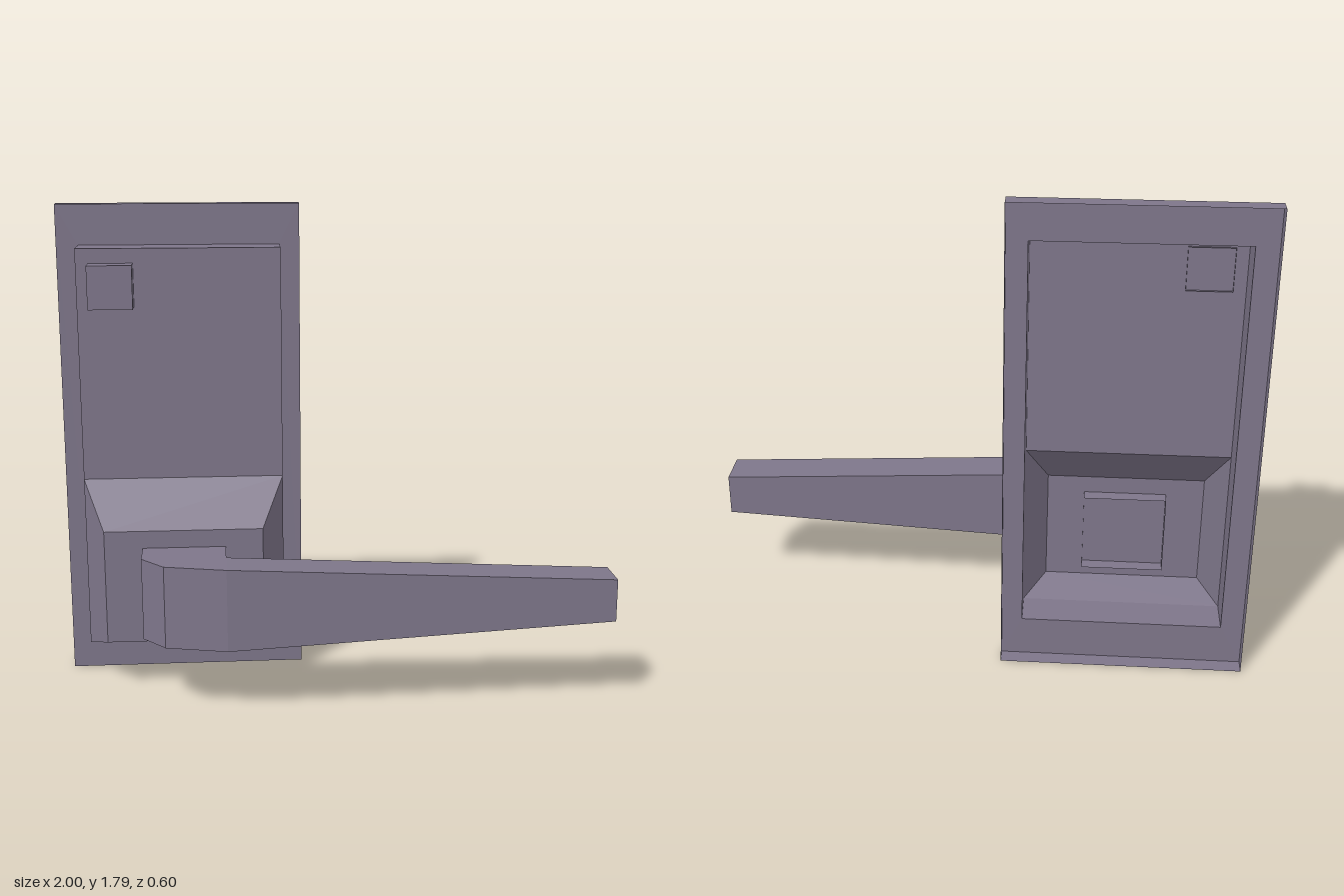
import * as THREE from 'three';

const metal = new THREE.MeshStandardMaterial({ color: 0x7e768a });
metal.name = 'greyMetal';
metal.side = THREE.DoubleSide; // pressed sheet parts, open at the back

// Rectangular cross-section at depth z, anticlockwise from the front
const rect = (l, r, b, t, z) => [[l, b, z], [r, b, z], [r, t, z], [l, t, z]];

// Skin four-cornered cross-sections, back to front; optionally close the last one
function loft(name, loops, cap = true) {
  const pos = [];
  const quad = (a, b, c, d) => pos.push(...a, ...b, ...c, ...a, ...c, ...d);
  for (let i = 0; i < loops.length - 1; i++) {
    const p = loops[i], q = loops[i + 1];
    for (let k = 0; k < 4; k++) {
      const n = (k + 1) % 4;
      quad(p[k], p[n], q[n], q[k]);
    }
  }
  if (cap) quad(...loops[loops.length - 1]);
  const geo = new THREE.BufferGeometry();
  geo.setAttribute('position', new THREE.Float32BufferAttribute(pos, 3));
  geo.computeVertexNormals();
  const mesh = new THREE.Mesh(geo, metal);
  mesh.name = name;
  return mesh;
}

export function createModel() {
  const model = new THREE.Group();
  model.name = 'doorLock';

  // Back plate: shallow skirt, flange and opening
  const L = -0.92, R = -0.183, B = 0.152, T = 1.643, M = 0.793;
  model.add(loft('backPlate', [
    rect(-1, -0.108, 0, 1.792, -0.302),
    rect(-1, -0.108, 0, 1.792, -0.242),
    rect(L, R, B, T, -0.242),
  ], false));

  // Housing walls, flat upper panel and raised lower boss
  model.add(loft('housingWalls', [
    rect(L, R, B, T, -0.242),
    rect(L, R, B, T, -0.105),
  ], false));
  model.add(loft('upperPanel', [rect(L, R, M, T, -0.105)]));
  model.add(loft('lowerBoss', [
    rect(L, R, B, M, -0.105),
    rect(-0.845, -0.263, 0.196, 0.624, 0.02),
  ]));

  // Button, its open end just through the panel
  model.add(loft('button', [
    rect(-0.875, -0.715, 1.433, 1.59, -0.115),
    rect(-0.875, -0.715, 1.433, 1.59, -0.025),
  ]));

  // Lever: neck, chamfered bend and tapering arm [outerX, outerZ, innerX, innerZ, halfHeight]
  const sections = [
    [-0.705, -0.03, -0.4, -0.03, 0.152],
    [-0.705, 0.15, -0.4, 0.156, 0.152],
    [-0.622, 0.248, -0.4, 0.156, 0.152],
    [-0.4, 0.302, -0.4, 0.156, 0.152],
    [1, 0.302, 1, 0.156, 0.079],
  ];
  const midY = 0.407;
  model.add(loft('lever', sections.map(([ox, oz, ix, iz, h]) => [
    [ox, midY - h, oz], [ix, midY - h, iz], [ix, midY + h, iz], [ox, midY + h, oz],
  ])));

  return model;
}
